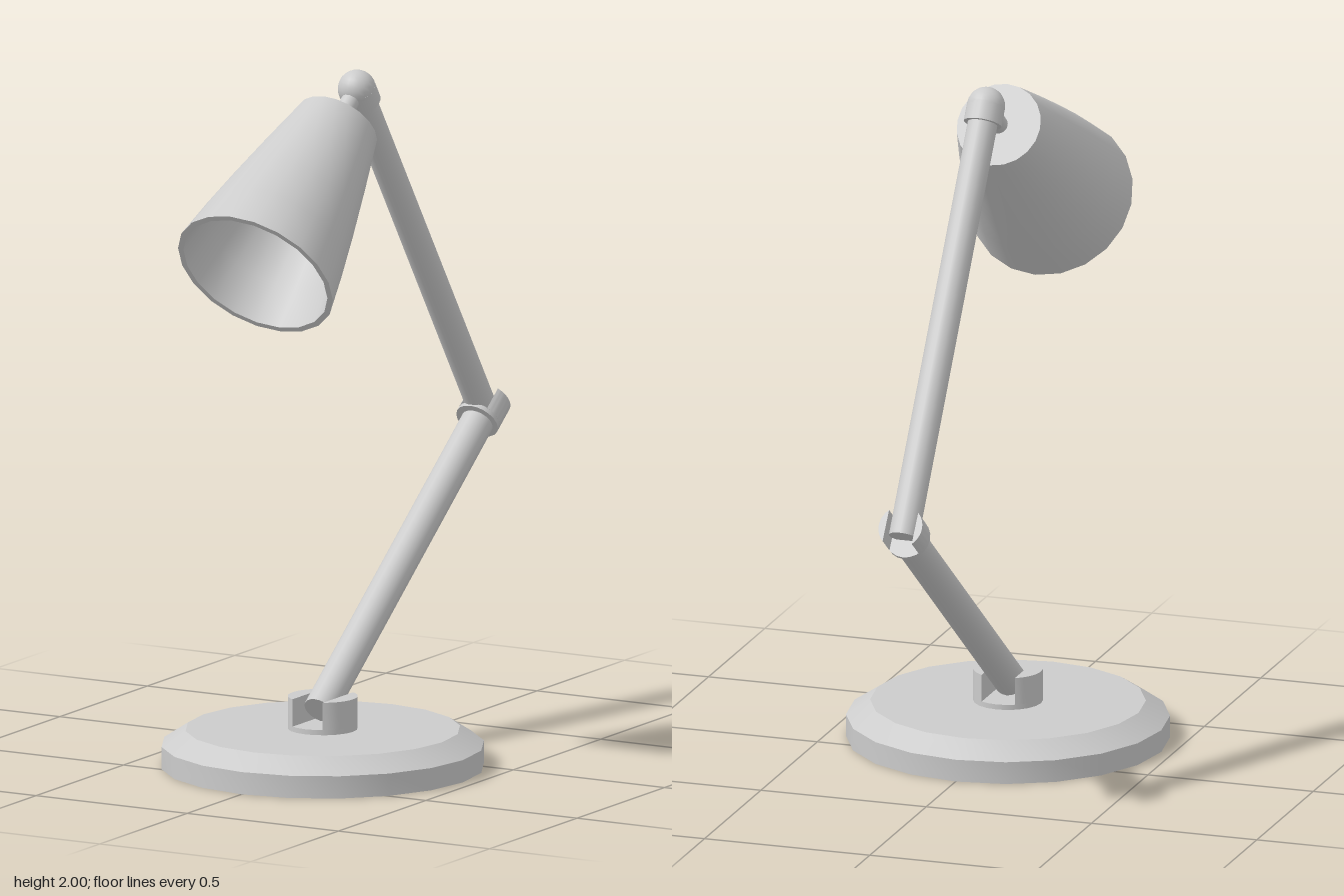
import * as THREE from 'three';
import { toCreasedNormals } from 'three/addons/utils/BufferGeometryUtils.js';

const SIDES = 20;
const material = new THREE.MeshStandardMaterial({ color: 0xcccccc });

function mesh(name, geometry) {
  const m = new THREE.Mesh(geometry, material);
  m.name = name;
  return m;
}

// Solid of revolution around y, smooth with sharp edges kept
function turned(name, profile) {
  const points = profile.map(([r, y]) => new THREE.Vector2(r, y));
  return mesh(name, toCreasedNormals(new THREE.LatheGeometry(points, SIDES), Math.PI / 6));
}

// Places an object at (0, y, z) with its y axis turned along (dy, dz)
function aim(object, [y, z], [dy, dz]) {
  object.position.set(0, y, z);
  object.rotation.x = Math.atan2(dz, dy);
  return object;
}

// Round rod between two [y, z] points in the x = 0 plane
function rod(name, radius, from, to) {
  const d = [to[0] - from[0], to[1] - from[1]];
  const length = Math.hypot(d[0], d[1]);
  const geometry = new THREE.CylinderGeometry(radius, radius, length, SIDES);
  geometry.translate(0, length / 2, 0);
  return aim(mesh(name, geometry), from, d);
}

// Disc with two upright cheeks left by a slot through a cylinder
function fork(name, radius, slotHalf, discHeight, height) {
  const group = new THREE.Group();
  group.name = name;
  const disc = mesh(name + 'Disc', new THREE.CylinderGeometry(radius, radius, discHeight, SIDES));
  disc.position.y = discHeight / 2;
  group.add(disc);

  const half = Math.acos(slotHalf / radius);
  for (const side of [0, Math.PI]) {
    const shape = new THREE.Shape();
    shape.absarc(0, 0, radius, side - half, side + half, false);
    shape.closePath();
    const geometry = new THREE.ExtrudeGeometry(shape, {
      depth: height - discHeight, bevelEnabled: false, curveSegments: 8,
    });
    geometry.rotateX(-Math.PI / 2);
    geometry.translate(0, discHeight, 0);
    group.add(mesh(name + 'Cheek', toCreasedNormals(geometry, Math.PI / 6)));
  }
  return group;
}

export function createModel() {
  const lamp = new THREE.Group();
  lamp.name = 'deskLamp';

  // Weighted base with a bevelled rim
  const base = turned('base', [[0, 0], [0.464, 0], [0.464, 0.065], [0.395, 0.11], [0, 0.11]]);
  base.position.z = 0.225;
  lamp.add(base);

  // Slotted socket on the base
  const socket = fork('baseSocket', 0.1, 0.05, 0.015, 0.095);
  socket.position.set(0, 0.11, 0.225);
  lamp.add(socket);

  // Lower arm and the elbow fork at its end
  const lowerDir = [0.602, -0.798];
  lamp.add(rod('lowerArm', 0.048, [0.165, 0.242], [0.85, -0.662]));
  lamp.add(aim(fork('elbowFork', 0.065, 0.044, 0.014, 0.09), [0.85, -0.657], lowerDir));

  // Upper arm, collar and ball joint
  const ballCentre = [1.945, 0.03];
  lamp.add(rod('upperArm', 0.043, [0.865, -0.7], ballCentre));
  lamp.add(rod('ballCollar', 0.055, [1.9, 0], ballCentre));
  const ball = mesh('ballJoint', new THREE.SphereGeometry(0.055, SIDES, 14));
  ball.position.set(0, ...ballCentre);
  lamp.add(ball);

  // Head: y runs from the closed end of the shade to its opening
  const head = aim(new THREE.Group(), [1.856, 0.143], [-0.599, 0.801]);
  head.name = 'head';
  head.add(turned('shade', [
    [0, 0], [0.125, 0], [0.159, 0.15], [0.193, 0.31], [0.22, 0.45], [0.242, 0.583],
    [0.225, 0.583], [0.204, 0.45], [0.177, 0.31], [0.143, 0.15], [0.112, 0.016], [0, 0.016],
  ]));
  const bulb = mesh('bulb', new THREE.SphereGeometry(0.11, SIDES, 14));
  bulb.position.y = 0.27;
  const holder = mesh('bulbHolder', new THREE.CylinderGeometry(0.05, 0.05, 0.18, SIDES));
  holder.position.y = 0.1;
  head.add(bulb, holder);
  lamp.add(head);

  // Short neck from the ball to the shade
  lamp.add(rod('neck', 0.027, ballCentre, [1.85, 0.15]));

  return lamp;
}
